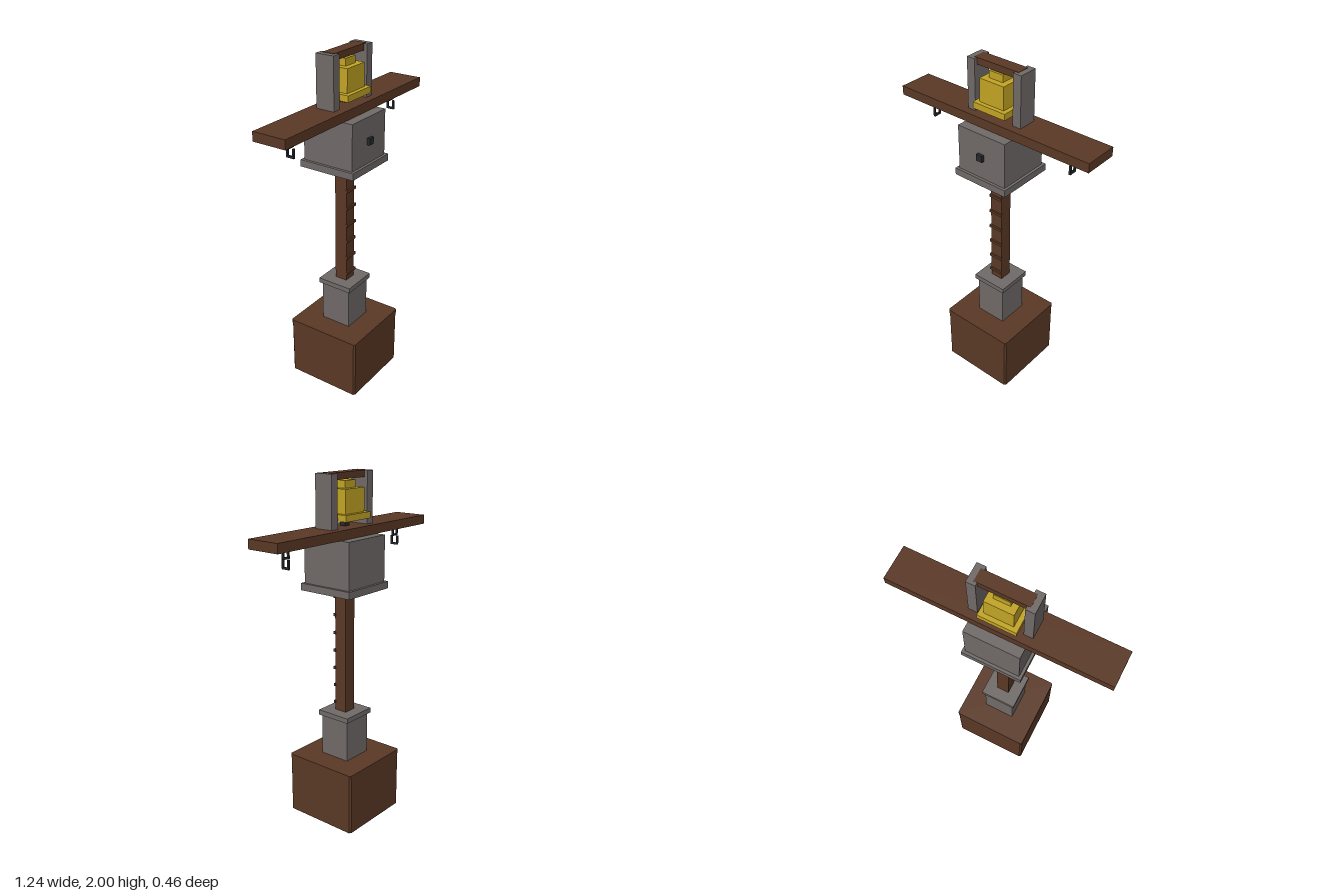
import * as THREE from 'three';

const material = (name, color) => {
  const m = new THREE.MeshStandardMaterial({ color });
  m.name = name;
  return m;
};

export function createModel() {
  const wood = material('dark wood', 0x5a3825);
  const stone = material('grey stone', 0x706a68);
  const brass = material('brass', 0xc2a424);
  const iron = material('black iron', 0x26292b);
  const model = new THREE.Group();
  model.name = 'bellPost';

  // Box given by its size, its bottom height and its centre in x and z
  const box = (name, mat, w, h, d, bottom, x = 0, z = 0, parent = model) => {
    const mesh = new THREE.Mesh(new THREE.BoxGeometry(w, h, d), mat);
    mesh.name = name;
    mesh.position.set(x, bottom + h / 2, z);
    parent.add(mesh);
    return mesh;
  };

  // Square prism with chamfered vertical edges
  const chamferedBlock = (name, mat, half, cut, bottom, height) => {
    const a = half, b = half - cut;
    const shape = new THREE.Shape(
      [[a, -b], [a, b], [b, a], [-b, a], [-a, b], [-a, -b], [-b, -a], [b, -a]]
        .map(([x, y]) => new THREE.Vector2(x, y)));
    const geometry = new THREE.ExtrudeGeometry(shape, { depth: height, bevelEnabled: false });
    geometry.rotateX(-Math.PI / 2);
    const mesh = new THREE.Mesh(geometry, mat);
    mesh.name = name;
    mesh.position.y = bottom;
    model.add(mesh);
  };

  // Wooden base with a thin lid
  chamferedBlock('base', wood, 0.229, 0.01, 0, 0.34);
  chamferedBlock('baseLid', wood, 0.23, 0.008, 0.34, 0.025);

  // Stone pedestal
  box('pedestal', stone, 0.187, 0.245, 0.187, 0.365);
  box('pedestalCap', stone, 0.214, 0.03, 0.214, 0.61);

  // Post with rungs up its front
  box('post', wood, 0.076, 0.72, 0.076, 0.64);
  for (let i = 0; i < 7; i++) {
    box('rung', wood, 0.084, 0.016, 0.014, 0.68 + i * 0.105, 0, 0.041);
  }

  // Stone head with a small iron stud
  box('headPlate', stone, 0.344, 0.04, 0.344, 1.36);
  box('head', stone, 0.312, 0.26, 0.312, 1.4);
  box('stud', iron, 0.038, 0.038, 0.022, 1.508, 0, 0.163);

  // Long cross beam
  box('beam', wood, 1.24, 0.052, 0.2, 1.66);

  // Frame holding the bell
  for (const side of [-1, 1]) {
    box('framePost', stone, 0.05, 0.286, 0.11, 1.712, side * 0.149);
  }
  box('frameBar', wood, 0.285, 0.037, 0.072, 1.963);

  // Square stepped bell
  box('clapper', iron, 0.036, 0.04, 0.036, 1.714);
  box('bellLip', brass, 0.21, 0.036, 0.19, 1.75);
  box('bellBody', brass, 0.158, 0.13, 0.142, 1.786);
  box('bellCrown', brass, 0.09, 0.04, 0.075, 1.916);

  // Open iron link: two uprights and a bottom bar
  const addLink = (parent, bottom, turn) => {
    const link = new THREE.Group();
    link.name = 'link';
    link.rotation.y = turn;
    for (const side of [-1, 1]) {
      box('linkSide', iron, 0.01, 0.052, 0.011, bottom, side * 0.019, 0, link);
    }
    box('linkBar', iron, 0.048, 0.011, 0.011, bottom, 0, 0, link);
    parent.add(link);
  };

  // Hanging hooks under both ends of the beam
  for (const side of [-1, 1]) {
    const hook = new THREE.Group();
    hook.name = 'hook';
    hook.position.x = side * 0.463;
    addLink(hook, 1.599, 0);
    addLink(hook, 1.547, Math.PI / 2);
    model.add(hook);
  }

  return model;
}
